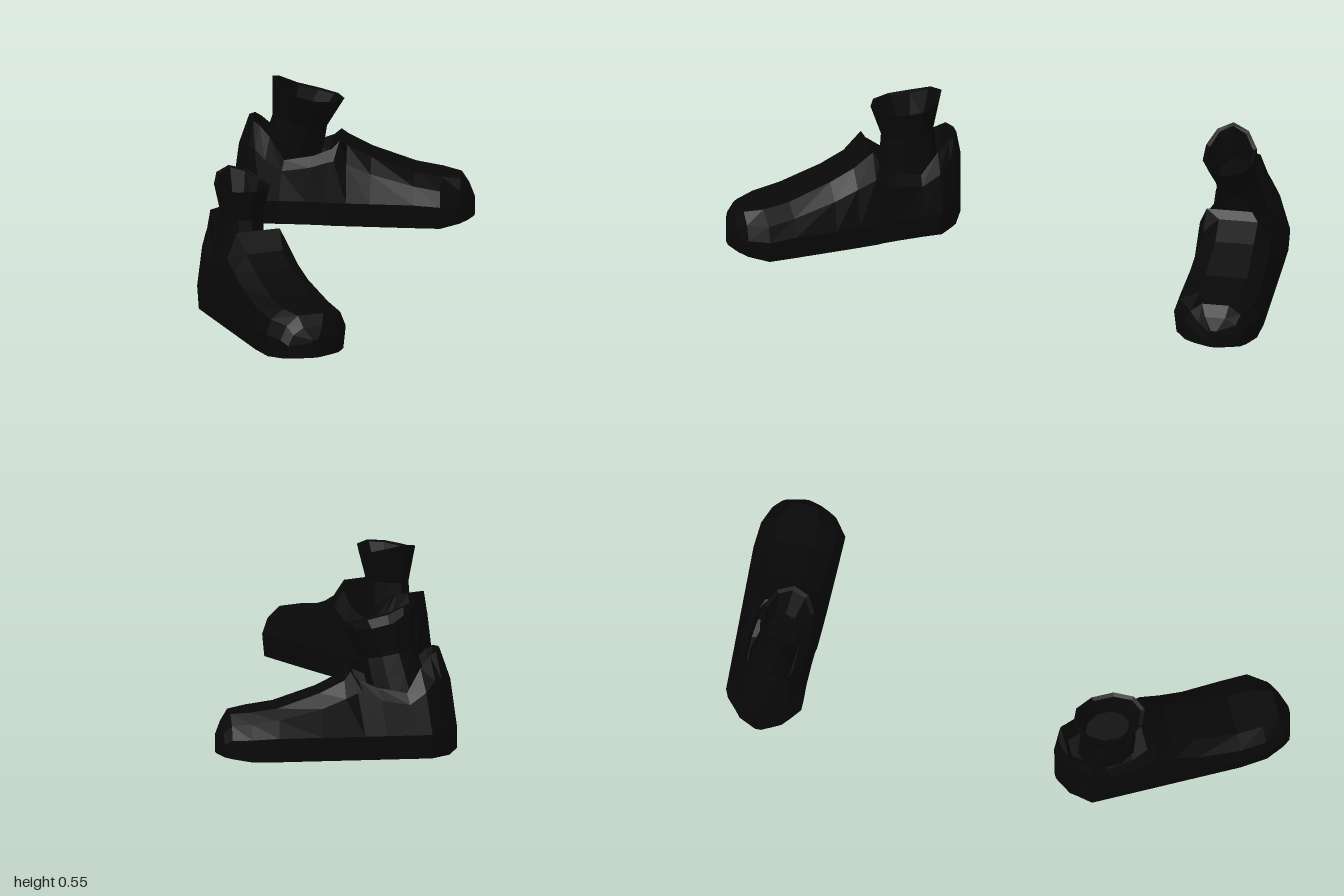
import * as THREE from 'three';

const material = new THREE.MeshStandardMaterial({ color: 0x080808, flatShading: true, roughness: 0.9 });

// Joins a list of equal-length point loops into a capped skin
function loft(name, rings, flip) {
  const pos = rings.flat(2), index = [], n = rings[0].length;
  const tri = (a, b, c) => (flip ? index.push(a, c, b) : index.push(a, b, c));
  for (let k = 0; k < rings.length - 1; k++) {
    for (let i = 0; i < n; i++) {
      const j = (i + 1) % n, a = k * n + i, b = k * n + j;
      tri(a, a + n, b + n);
      tri(a, b + n, b);
    }
  }
  const last = (rings.length - 1) * n;
  for (let i = 1; i < n - 1; i++) {
    tri(0, i, i + 1);
    tri(last, last + i + 1, last + i);
  }
  const geometry = new THREE.BufferGeometry();
  geometry.setAttribute('position', new THREE.Float32BufferAttribute(pos, 3));
  geometry.setIndex(index);
  const flat = geometry.toNonIndexed();
  flat.computeVertexNormals();
  const mesh = new THREE.Mesh(flat, material);
  mesh.name = name;
  return mesh;
}

// Heel to toe: z, side outer/inner x, shoulder outer/inner x, shoulder y,
// top outer/inner x, top y, optional floor of the foot opening
const sections = [
  [0.103, -0.012, 0.012, -0.015, 0.015, 0.26, -0.02, 0.02, 0.355],
  [0.14, -0.08, 0.085, -0.075, 0.08, 0.27, -0.06, 0.06, 0.355],
  [0.165, -0.10, 0.11, -0.09, 0.095, 0.27, -0.065, 0.065, 0.345, 0.2],
  [0.21, -0.14, 0.15, -0.12, 0.12, 0.24, -0.085, 0.085, 0.315, 0.2],
  [0.28, -0.14, 0.15, -0.125, 0.125, 0.2, -0.105, 0.105, 0.24, 0.2],
  [0.38, -0.14, 0.155, -0.125, 0.135, 0.22, -0.10, 0.11, 0.27, 0.2],
  [0.44, -0.14, 0.16, -0.12, 0.135, 0.25, -0.09, 0.105, 0.32, 0.22],
  [0.46, -0.14, 0.165, -0.12, 0.135, 0.26, -0.08, 0.09, 0.355],
  [0.53, -0.14, 0.17, -0.12, 0.135, 0.23, -0.07, 0.075, 0.29],
  [0.62, -0.14, 0.175, -0.125, 0.14, 0.195, -0.07, 0.075, 0.245],
  [0.78, -0.14, 0.183, -0.125, 0.155, 0.155, -0.07, 0.085, 0.19],
  [0.88, -0.13, 0.187, -0.11, 0.165, 0.14, -0.06, 0.09, 0.175],
  [0.95, -0.10, 0.14, -0.075, 0.115, 0.13, -0.03, 0.07, 0.165],
  [0.978, -0.08, 0.10, -0.06, 0.08, 0.1, -0.02, 0.055, 0.125],
  [1.0, 0.005, 0.035, 0.005, 0.035, 0.07, 0.01, 0.03, 0.08],
];

// Ankle sleeve, bottom to rim and back down inside: y, back z, front z, half width, rim lift
const ankleRings = [
  [0.2, 0.19, 0.41, 0.085, 0],
  [0.3, 0.195, 0.41, 0.08, 0],
  [0.38, 0.203, 0.405, 0.075, 0],
  [0.49, 0.172, 0.445, 0.1, 1],
  [0.485, 0.187, 0.43, 0.085, 1],
  [0.4, 0.22, 0.385, 0.06, 0],
];

// side 1 puts the inner edge at +x, -1 mirrors; tilt bends the ankle forward and inward
function createShoe(name, side, tilt) {
  const place = (x, y, z) => {
    const bend = z < 0.5 ? tilt : 0;
    const drop = THREE.MathUtils.smoothstep(y, 0.2, 0.35) * bend;
    const lean = Math.max(0, (y - 0.15) / 0.35) * bend;
    return [side * (x + 0.06 * lean), y + drop * 0.2 * (0.27 - z), z - 0.55 + 0.075 * lean];
  };

  const bodyRings = sections.map(([z, so, si, ho, hi, hy, to, ti, ty, pit = ty], k) => {
    const sideY = Math.min(0.09, hy * 0.6);
    const base = k === 0 || z > 0.97 ? 0.012 : z > 0.9 ? 0.008 : 0;
    const topZ = k === 0 ? z + 0.018 : z;
    return [
      [so * 0.95, base, z], [so, sideY, z], [ho, hy, z], [to, ty, topZ],
      [to * 0.85, pit, topZ], [ti * 0.85, pit, topZ],
      [ti, ty, topZ], [hi, hy, z], [si, sideY, z], [si * 0.95, base, z],
    ].map((p) => place(...p));
  });

  const sides = 10;
  const sleeveRings = ankleRings.map(([y, z0, z1, w, lift]) =>
    Array.from({ length: sides }, (_, i) => {
      const a = ((i + 0.5) / sides) * Math.PI * 2, s = Math.sin(a);
      const rise = lift * (s < 0 ? 0.04 : 0.01) * s * s;
      return place(w * Math.cos(a), y + rise, (z0 + z1) / 2 + (s * (z1 - z0)) / 2);
    }));

  const shoe = new THREE.Group();
  shoe.name = name;
  shoe.add(loft('shoeBody', bodyRings, side < 0), loft('ankleSleeve', sleeveRings, side < 0));
  return shoe;
}

export function createModel() {
  const model = new THREE.Group();
  model.name = 'pairOfShoes';

  const right = createShoe('rightShoe', 1, 0);
  right.position.set(-0.56, 0, 0.55);

  const left = createShoe('leftShoe', -1, 1);
  left.position.set(0.293, 0, -0.732);
  left.rotation.y = 1.143;

  model.add(right, left);
  return model;
}
